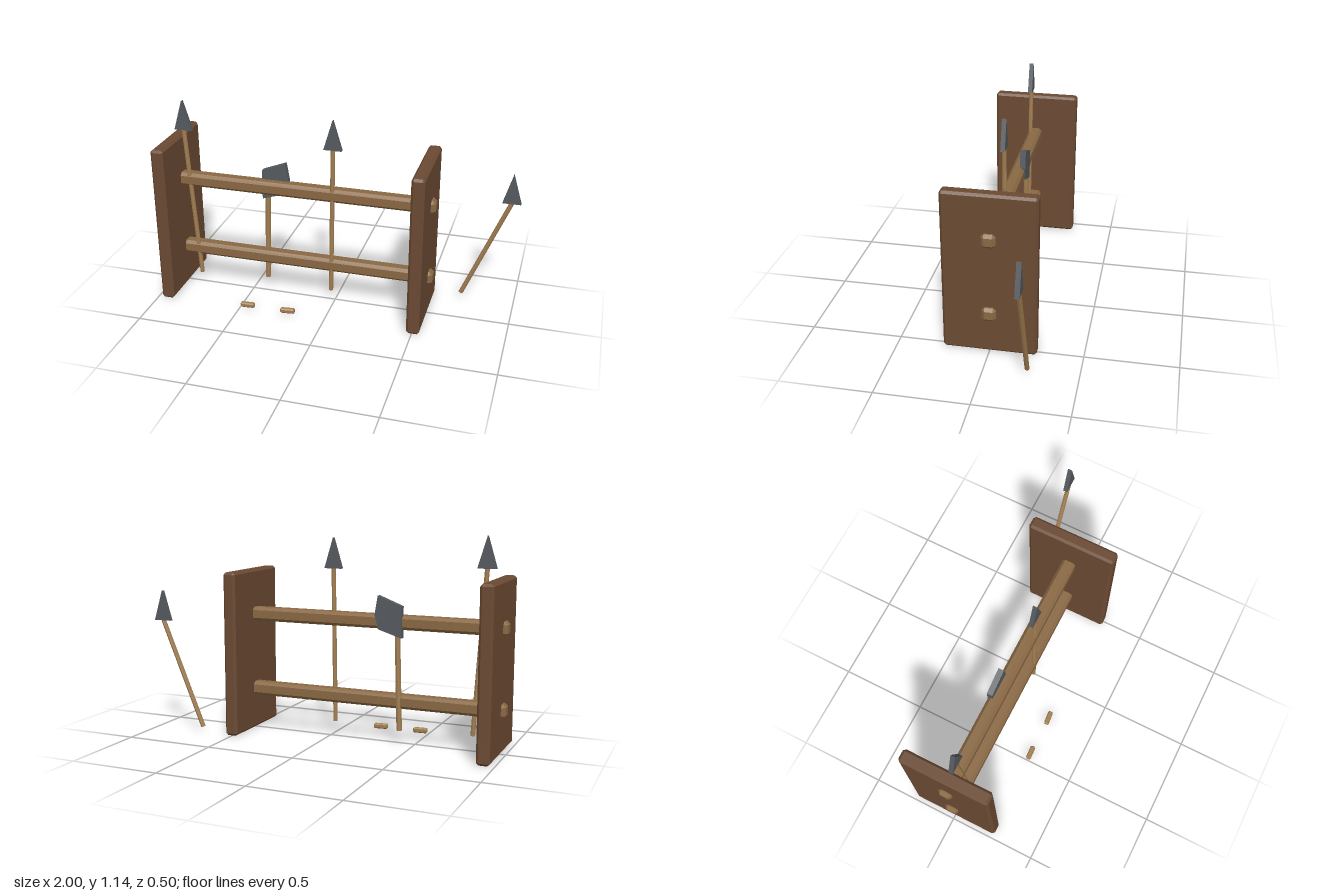
import * as THREE from 'three';
import { ConvexGeometry } from 'three/addons/geometries/ConvexGeometry.js';

const mat = (color) => new THREE.MeshStandardMaterial({ color, flatShading: true });
const boardWood = mat(0x6b4a33);
const railWood = mat(0x896843);
const shaftWood = mat(0xa07d50);
const metal = mat(0x555a5f);

function add(parent, name, geometry, material, x = 0, y = 0, z = 0) {
  const mesh = new THREE.Mesh(geometry, material);
  mesh.name = name;
  mesh.position.set(x, y, z);
  parent.add(mesh);
  return mesh;
}

// Box with every edge and corner cut by c
function chamferBox(w, h, d, c) {
  const points = [];
  for (const sx of [-1, 1]) for (const sy of [-1, 1]) for (const sz of [-1, 1]) {
    const [x, y, z] = [w / 2, h / 2, d / 2];
    points.push(
      new THREE.Vector3(sx * x, sy * (y - c), sz * (z - c)),
      new THREE.Vector3(sx * (x - c), sy * y, sz * (z - c)),
      new THREE.Vector3(sx * (x - c), sy * (y - c), sz * z));
  }
  return new ConvexGeometry(points);
}

// Flat plate cut from an outline, centred on z = 0
function plate(outline, thickness) {
  const shape = new THREE.Shape(outline.map(([x, y]) => new THREE.Vector2(x, y)));
  return new THREE.ExtrudeGeometry(shape, { depth: thickness, bevelEnabled: false })
    .translate(0, 0, -thickness / 2);
}

// Round stick between two points in the xy plane
function stick(parent, name, [x0, y0], [x1, y1], z, radius) {
  const length = Math.hypot(x1 - x0, y1 - y0);
  const mesh = add(parent, name, new THREE.CylinderGeometry(radius, radius, length, 8),
    shaftWood, (x0 + x1) / 2, (y0 + y1) / 2, z);
  mesh.rotation.z = -Math.atan2(x1 - x0, y1 - y0);
}

function spear(parent, name, bottom, top, z) {
  const group = new THREE.Group();
  group.name = name;
  stick(group, 'spearShaft', bottom, top, z, 0.013);
  add(group, 'spearHead', plate([[-0.051, 0], [0.051, 0], [0, 0.17]], 0.025), metal, top[0], top[1], z);
  parent.add(group);
}

export function createModel() {
  const model = new THREE.Group();
  model.name = 'weaponRack';

  // Upright end boards
  add(model, 'rightEndBoard', chamferBox(0.072, 0.92, 0.505, 0.013), boardWood, -0.94, 0.46, 0);
  add(model, 'leftEndBoard', chamferBox(0.072, 0.92, 0.505, 0.013), boardWood, 0.504, 0.46, 0);

  // Rails running through both boards
  add(model, 'lowerRail', chamferBox(1.565, 0.077, 0.077, 0.016), railWood, -0.2175, 0.235, 0);
  add(model, 'upperRail', chamferBox(1.565, 0.077, 0.077, 0.016), railWood, -0.2175, 0.668, 0);

  // Two spears in the rack and one leaning beside it
  spear(model, 'rightSpear', [-0.814, 0.077], [-0.87, 0.97], 0.025);
  spear(model, 'middleSpear', [-0.018, 0.077], [-0.006, 0.94], 0.025);
  spear(model, 'leaningSpear', [0.695, 0.029], [0.944, 0.63], -0.23);

  // Axe
  const axe = new THREE.Group();
  axe.name = 'axe';
  stick(axe, 'axeHandle', [-0.418, 0.077], [-0.4, 0.68], -0.028, 0.016);
  add(axe, 'axeBlade', plate(
    [[-0.43, 0.585], [-0.297, 0.627], [-0.275, 0.705], [-0.293, 0.81], [-0.43, 0.757]], 0.032),
    metal, 0, 0, -0.028);
  model.add(axe);

  // Loose wooden pegs on the ground
  for (const [name, x, turn] of [['rightPeg', -0.455, 0.06], ['leftPeg', -0.217, 0.1]]) {
    add(model, name, chamferBox(0.081, 0.028, 0.028, 0.006), shaftWood, x, 0.02, 0.225).rotation.y = turn;
  }

  return model;
}
